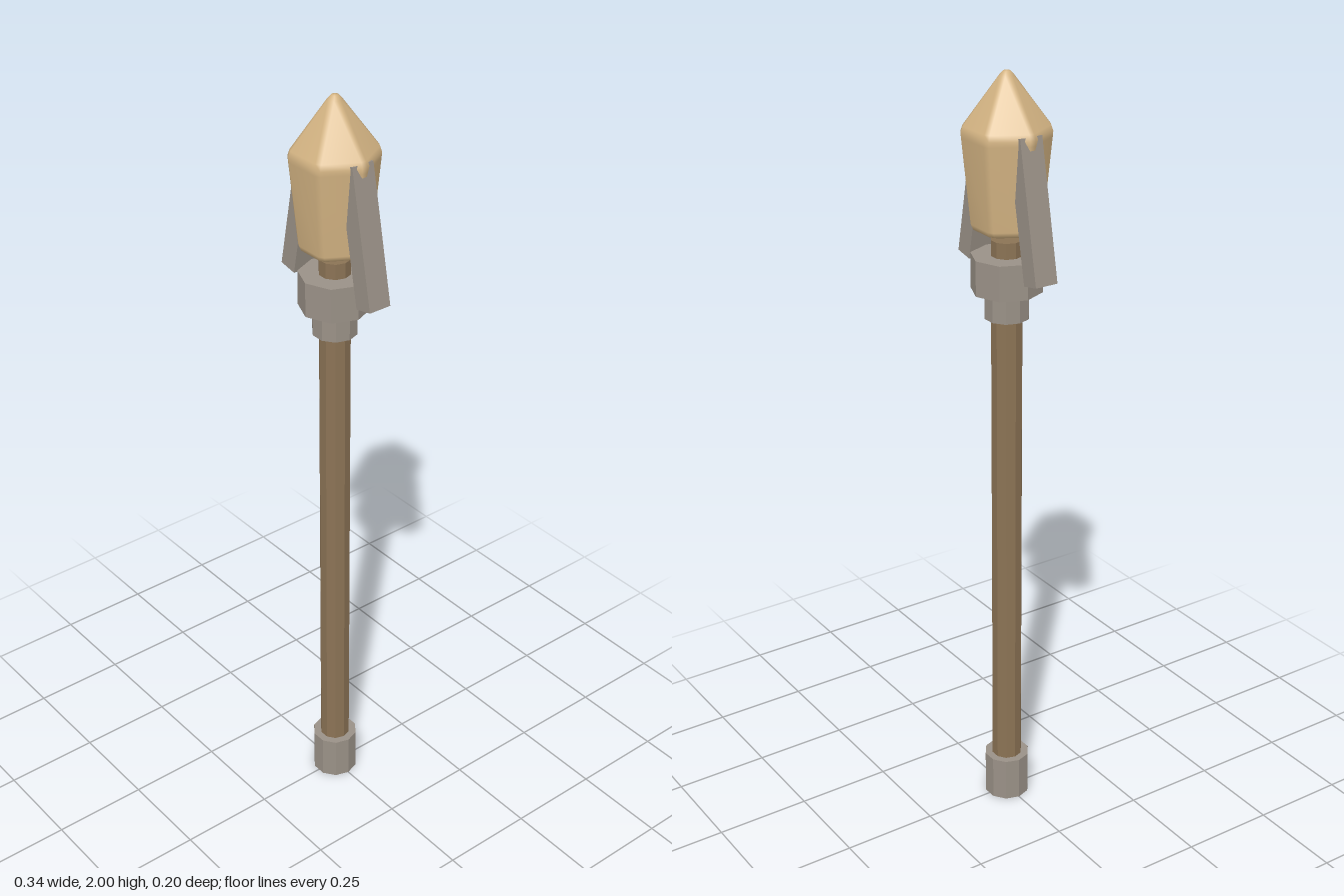
import * as THREE from 'three';
import { mergeVertices } from 'three/addons/utils/BufferGeometryUtils.js';

// Six-sided crystal: a lathe whose 12 columns are gathered into pairs, giving narrow bevelled edges
function crystalGeometry() {
  const profile = [
    [0, 1.607], [0.06, 1.61], [0.081, 1.617], [0.087, 1.63], [0.108, 1.842], [0.109, 1.855],
    [0.104, 1.87], [0.018, 1.988], [0.009, 1.998], [0, 2],
  ].map(([r, y]) => new THREE.Vector2(r, y));
  const geo = new THREE.LatheGeometry(profile, 12);
  const pos = geo.attributes.position;
  for (let i = 0; i <= 12; i++) {
    profile.forEach(({ x: r, y }, j) => {
      const bevel = r > 0 ? Math.min(0.007 / r, 0.26) : 0;
      const phi = Math.PI / 6 + (Math.floor(i / 2) * Math.PI) / 3 + (i % 2 ? bevel : -bevel);
      pos.setXYZ(i * profile.length + j, r * Math.sin(phi), y, r * Math.cos(phi));
    });
  }
  geo.deleteAttribute('normal');
  geo.deleteAttribute('uv');
  const merged = mergeVertices(geo, 1e-5);
  merged.computeVertexNormals();
  return merged;
}

export function createModel() {
  const group = new THREE.Group();
  const paint = (name, color, flatShading = true) => {
    const m = new THREE.MeshStandardMaterial({ color, flatShading });
    m.name = name;
    return m;
  };
  const wood = paint('brown wood', 0x8b7355);
  const metal = paint('grey metal', 0x9a9187);
  const amber = paint('tan crystal', 0xd4b483, false);

  const add = (name, geo, material) => {
    const mesh = new THREE.Mesh(geo, material);
    mesh.name = name;
    group.add(mesh);
    return mesh;
  };
  // Upright faceted cylinder between two heights, with a corner on the x axis
  const post = (name, r, y0, y1, sides, material) => {
    const geo = new THREE.CylinderGeometry(r, r, y1 - y0, sides);
    geo.rotateY(Math.PI / 2);
    add(name, geo, material).position.y = (y0 + y1) / 2;
  };

  // Handle and its fittings
  post('shaft', 0.04, 0.02, 1.59, 10, wood);
  post('endCap', 0.06, 0, 0.12, 10, metal);
  post('lowerCollar', 0.057, 1.39, 1.453, 10, metal);
  post('upperRing', 0.09, 1.46, 1.55, 8, metal);

  // Crystal head
  add('crystal', crystalGeometry(), amber);

  // Prongs leaning in against the crystal
  for (const side of [1, -1]) {
    const prong = add(side > 0 ? 'leftProng' : 'rightProng', new THREE.BoxGeometry(0.05, 0.35, 0.062), metal);
    prong.position.set(side * 0.11, 1.687, 0);
    prong.rotation.z = side * 0.195;
  }
  return group;
}
